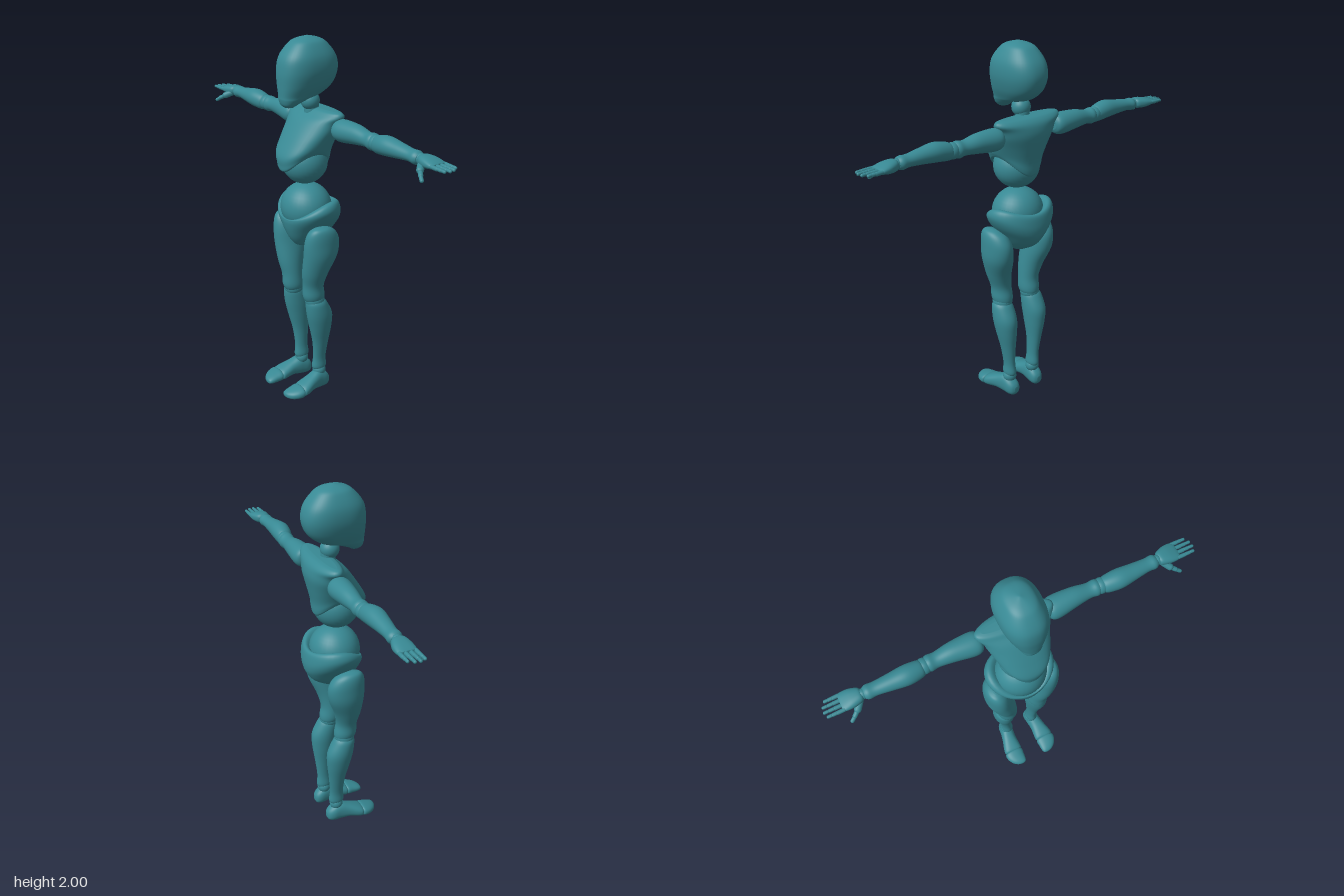
import * as THREE from 'three';

const SIDES = 40, STEPS = 5;

// Smooth tube through cross-sections along one axis.
// Row: [t, centreA, centreB, radiusA, radiusB, lift, tilt]; A, B are the other two axes in x, y, z order.
// lift raises the A sides of a ring, tilt raises its -B side.
function loft(axis, rows, power = 2) {
  const rings = [];
  const spline = (i, k, f) => {
    const at = (n) => rows[Math.min(rows.length - 1, Math.max(0, n))][k] ?? 0;
    const [a, b, c, d] = [at(i - 1), at(i), at(i + 1), at(i + 2)];
    return b + 0.5 * f * (c - a + f * (2 * a - 5 * b + 4 * c - d + f * (3 * (b - c) + d - a)));
  };
  for (let i = 0; i < rows.length - 1; i++)
    for (let s = 0; s < STEPS; s++) rings.push([0, 1, 2, 3, 4, 5, 6].map((k) => spline(i, k, s / STEPS)));
  rings.push([0, 1, 2, 3, 4, 5, 6].map((k) => rows[rows.length - 1][k] ?? 0));

  const pos = [], index = [];
  const put = (t, a, b) => pos.push(...(axis === 'x' ? [t, a, b] : axis === 'y' ? [a, t, b] : [a, b, t]));
  const bend = (v) => Math.sign(v) * Math.abs(v) ** (2 / power);
  for (const [t, ca, cb, ra, rb, lift, tilt] of rings)
    for (let j = 0; j < SIDES; j++) {
      const q = (j / SIDES) * Math.PI * 2 * (axis === 'y' ? -1 : 1);
      const u = bend(Math.cos(q)), v = bend(Math.sin(q));
      put(t + lift * u * u - tilt * v, ca + Math.max(ra, 0.002) * u, cb + Math.max(rb, 0.002) * v);
    }
  for (let i = 0; i < rings.length - 1; i++)
    for (let j = 0; j < SIDES; j++) {
      const a = i * SIDES + j, b = i * SIDES + (j + 1) % SIDES;
      index.push(a, b, b + SIDES, a, b + SIDES, a + SIDES);
    }
  // closed ends
  const last = (rings.length - 1) * SIDES, first = rings[0], end = rings[rings.length - 1];
  put(first[0], first[1], first[2]);
  put(end[0], end[1], end[2]);
  const c0 = pos.length / 3 - 2;
  for (let j = 0; j < SIDES; j++) {
    const k = (j + 1) % SIDES;
    index.push(c0, k, j, c0 + 1, last + j, last + k);
  }
  const geo = new THREE.BufferGeometry();
  geo.setAttribute('position', new THREE.Float32BufferAttribute(pos, 3));
  geo.setIndex(index);
  geo.computeVertexNormals();
  return geo;
}

function ball(x, y, z, rx, ry = rx, rz = rx) {
  return new THREE.SphereGeometry(1, 32, 20).scale(rx, ry, rz).translate(x, y, z);
}

// Rounded rod between two points
function rod(from, to, r) {
  const a = new THREE.Vector3(...from), b = new THREE.Vector3(...to), d = b.clone().sub(a);
  const geo = new THREE.CapsuleGeometry(r, d.length(), 5, 12);
  geo.applyQuaternion(new THREE.Quaternion().setFromUnitVectors(new THREE.Vector3(0, 1, 0), d.normalize()));
  return geo.translate(...a.add(b).multiplyScalar(0.5).toArray());
}

// Copy reflected in x, with the corner order restored
function mirrored(geo) {
  const copy = geo.clone().scale(-1, 1, 1), idx = copy.index.array;
  for (let i = 0; i < idx.length; i += 3) [idx[i], idx[i + 1]] = [idx[i + 1], idx[i]];
  const n = copy.attributes.normal;
  for (let i = 0; i < n.count; i++) n.setX(i, -geo.attributes.normal.getX(i));
  return copy;
}

export function createModel() {
  const model = new THREE.Group();
  model.name = 'jointedMannequin';
  const teal = new THREE.MeshStandardMaterial({ color: 0x388994 });
  teal.name = 'teal';
  const add = (name, geo) => {
    const mesh = new THREE.Mesh(geo, teal);
    mesh.name = name;
    model.add(mesh);
  };
  const pair = (name, geo) => {
    add(name + 'Left', geo);
    add(name + 'Right', mirrored(geo));
  };

  // Head and neck
  add('head', loft('y', [
    [1.65, 0, 0.095, 0.028, 0.025], [1.665, 0, 0.09, 0.045, 0.045], [1.69, 0, 0.06, 0.062, 0.083],
    [1.71, 0, 0.022, 0.073, 0.122], [1.76, 0, -0.008, 0.097, 0.154], [1.83, 0, -0.02, 0.114, 0.166],
    [1.9, 0, -0.02, 0.11, 0.151], [1.96, 0, -0.02, 0.081, 0.104], [1.985, 0, -0.02, 0.053, 0.066],
    [2, 0, -0.02, 0.005, 0.005]], 2.4));
  add('neckBall', ball(0, 1.665, -0.04, 0.05));
  add('neck', new THREE.CylinderGeometry(0.036, 0.042, 0.1, 32).translate(0, 1.615, -0.05));

  // Rib cage with a rim arched at the sides, over the waist ball
  add('chest', loft('y', [
    [1.31, 0, 0.005, 0.09, 0.115, 0.1], [1.315, 0, 0.005, 0.113, 0.135, 0.09],
    [1.34, 0, 0.004, 0.123, 0.141, 0.075], [1.39, 0, 0.002, 0.134, 0.143, 0.045],
    [1.46, 0, -0.025, 0.152, 0.131, 0.02], [1.53, 0, -0.055, 0.17, 0.115], [1.575, 0, -0.072, 0.183, 0.096],
    [1.605, 0, -0.085, 0.207, 0.072], [1.625, 0, -0.085, 0.2, 0.05], [1.632, 0, -0.085, 0.17, 0.025]], 2.2));
  add('waistBall', ball(0, 1.345, -0.005, 0.124, 0.12, 0.122));

  // Hips: shell cupping the belly ball
  add('bellyBall', ball(0, 1.09, -0.015, 0.142, 0.135, 0.135));
  add('pelvis', loft('y', [
    [0.875, 0, -0.005, 0.03, 0.04], [0.89, 0, -0.01, 0.05, 0.07], [0.93, 0, -0.028, 0.085, 0.118],
    [0.98, 0, -0.035, 0.128, 0.146, 0.01], [1.02, 0, -0.035, 0.172, 0.156, 0.03],
    [1.05, 0, -0.034, 0.192, 0.156, 0.05, 0.01], [1.075, 0, -0.03, 0.18, 0.15, 0.06, 0.03],
    [1.078, 0, -0.025, 0.15, 0.135, 0.06, 0.035], [1.06, 0, -0.02, 0.11, 0.11, 0.04, 0.02]], 2));

  // Legs
  pair('thigh', loft('y', [
    [0.565, 0.096, 0, 0.035, 0.045], [0.58, 0.096, 0, 0.05, 0.057], [0.61, 0.097, 0.004, 0.057, 0.062],
    [0.67, 0.1, 0.009, 0.056, 0.059], [0.75, 0.117, 0.007, 0.066, 0.075], [0.85, 0.138, -0.01, 0.075, 0.098],
    [0.93, 0.146, -0.013, 0.071, 0.102], [0.985, 0.155, -0.005, 0.058, 0.084],
    [1.015, 0.165, 0.005, 0.035, 0.052], [1.025, 0.167, 0.01, 0.008, 0.015]]));
  pair('kneeBall', ball(0.099, 0.575, -0.002, 0.053, 0.05, 0.056));
  pair('shin', loft('y', [
    [0.12, 0.085, -0.045, 0.024, 0.034], [0.14, 0.085, -0.045, 0.033, 0.044], [0.2, 0.088, -0.045, 0.029, 0.039],
    [0.3, 0.096, -0.045, 0.038, 0.048], [0.4, 0.103, -0.039, 0.053, 0.066], [0.48, 0.106, -0.03, 0.061, 0.075],
    [0.55, 0.105, -0.01, 0.057, 0.062], [0.575, 0.104, -0.004, 0.046, 0.05]]));
  pair('ankleBall', ball(0.085, 0.112, -0.045, 0.038));
  pair('foot', loft('z', [
    [-0.106, 0.085, 0.042, 0.012, 0.016], [-0.095, 0.086, 0.043, 0.03, 0.034], [-0.07, 0.088, 0.05, 0.04, 0.048],
    [-0.03, 0.092, 0.06, 0.041, 0.056], [0.02, 0.1, 0.055, 0.044, 0.044], [0.07, 0.106, 0.043, 0.053, 0.037],
    [0.095, 0.107, 0.037, 0.054, 0.032], [0.105, 0.107, 0.036, 0.042, 0.024]], 2.3));
  pair('toes', loft('z', [
    [0.096, 0.108, 0.036, 0.04, 0.024], [0.108, 0.109, 0.036, 0.056, 0.031], [0.14, 0.108, 0.032, 0.053, 0.028],
    [0.17, 0.1, 0.028, 0.042, 0.022], [0.188, 0.091, 0.026, 0.026, 0.014], [0.194, 0.088, 0.026, 0.008, 0.005]], 2.3));

  // Arms, held straight out
  pair('upperArm', loft('x', [
    [0.175, 1.548, -0.086, 0.028, 0.03], [0.19, 1.547, -0.086, 0.05, 0.054], [0.23, 1.546, -0.087, 0.058, 0.062],
    [0.33, 1.55, -0.091, 0.05, 0.051], [0.41, 1.546, -0.091, 0.038, 0.04], [0.45, 1.545, -0.09, 0.044, 0.043],
    [0.475, 1.545, -0.09, 0.032, 0.032]]));
  pair('elbowBall', ball(0.478, 1.545, -0.088, 0.042));
  pair('forearm', loft('x', [
    [0.482, 1.545, -0.085, 0.032, 0.032], [0.5, 1.547, -0.083, 0.045, 0.044], [0.57, 1.556, -0.078, 0.049, 0.052],
    [0.65, 1.555, -0.08, 0.04, 0.044], [0.73, 1.552, -0.084, 0.031, 0.036], [0.77, 1.55, -0.085, 0.034, 0.038],
    [0.79, 1.55, -0.085, 0.024, 0.028]]));
  pair('wristBall', ball(0.793, 1.55, -0.086, 0.027));

  // Hands
  pair('palm', loft('x', [
    [0.795, 1.55, -0.087, 0.018, 0.025], [0.81, 1.55, -0.088, 0.028, 0.038], [0.85, 1.548, -0.091, 0.027, 0.049],
    [0.89, 1.546, -0.092, 0.018, 0.05], [0.908, 1.545, -0.092, 0.011, 0.044]], 2.4));
  [[-0.131, 0.97], [-0.105, 0.987], [-0.079, 0.991], [-0.053, 0.982]].forEach(([z, tip], f) => {
    const joint = (k) => 0.9 + (tip - 0.9) * k;
    [[0, 0.42], [0.5, 0.72], [0.82, 1]].forEach(([a, b], k) =>
      pair(`finger${f + 1}Segment${k + 1}`,
        rod([joint(a), 1.546, z], [joint(b), 1.545, z], 0.0105 - 0.0012 * k)));
  });
  pair('thumbBase', rod([0.82, 1.535, -0.065], [0.845, 1.519, -0.036], 0.018));
  pair('thumbMiddle', rod([0.852, 1.514, -0.031], [0.87, 1.503, -0.018], 0.012));
  pair('thumbTip', rod([0.876, 1.498, -0.014], [0.891, 1.488, -0.006], 0.01));

  return model;
}
